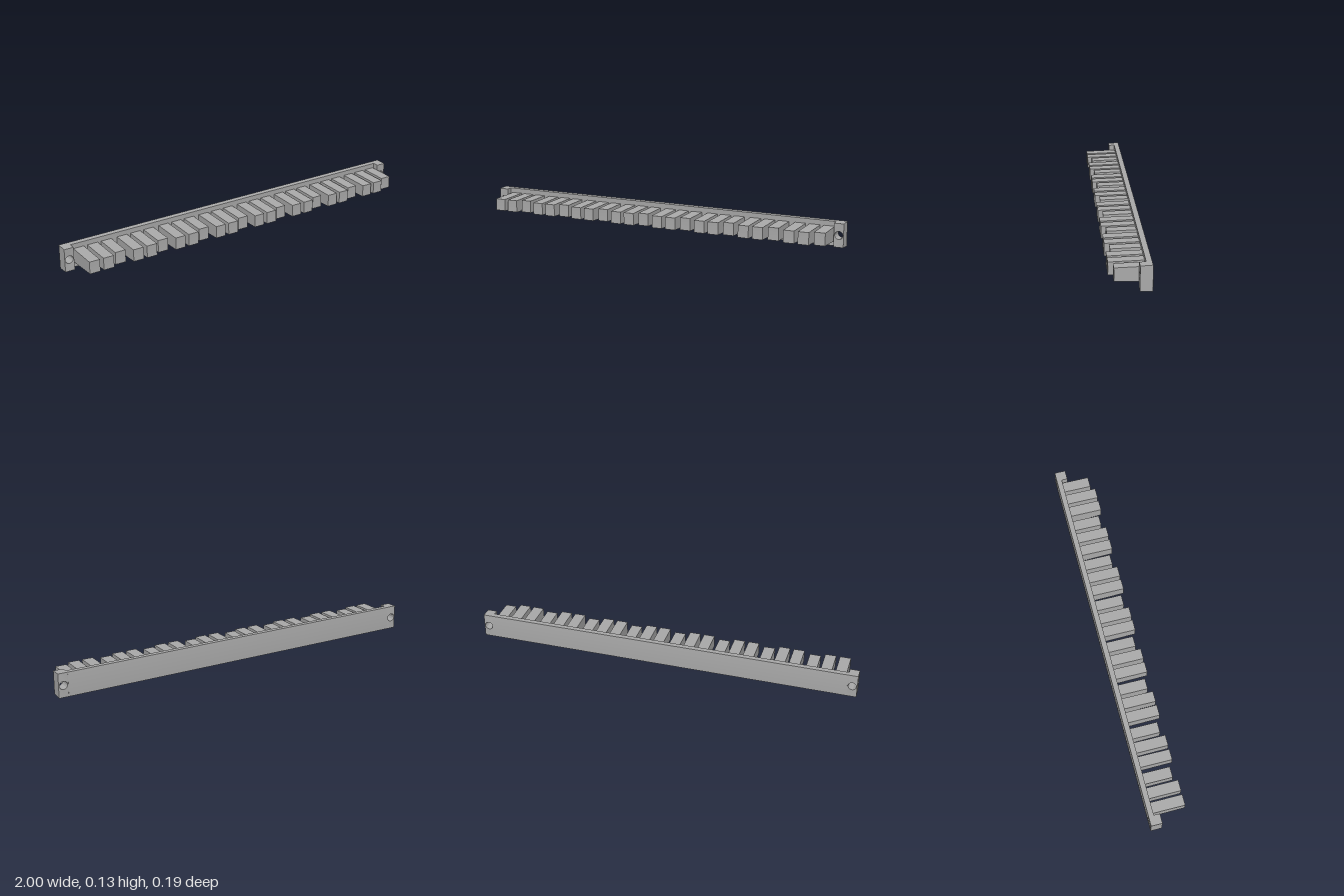
import * as THREE from 'three';
import { toCreasedNormals } from 'three/addons/utils/BufferGeometryUtils.js';

const grey = new THREE.MeshStandardMaterial({ color: 0xaaaaaa });
grey.name = 'plain grey';

const MID_Y = 0.063;   // height of the strip's centre line
const AXIS_Z = 1.2;    // the strip is a shallow sector of a ring around this axis
const BACK = -0.097;   // outer (rear) face

// Bend flat stock into the ring sector: height becomes an angle, depth a radius.
function bend(geometry) {
  const p = geometry.attributes.position;
  const backRadius = AXIS_Z - BACK;
  for (let i = 0; i < p.count; i++) {
    const angle = p.getY(i) / backRadius;
    const r = AXIS_Z - p.getZ(i);
    p.setY(i, MID_Y + r * Math.sin(angle));
    p.setZ(i, AXIS_Z - r * Math.cos(angle));
  }
  geometry.computeVertexNormals();
  return geometry;
}

function part(name, geometry) {
  const mesh = new THREE.Mesh(geometry, grey);
  mesh.name = name;
  return mesh;
}

// Bent bar centred at x, running from depth z0 to z1
function bar(name, x, width, halfHeight, z0, z1) {
  const g = new THREE.BoxGeometry(width, halfHeight * 2, z1 - z0, 1, 8, 1);
  g.translate(x, 0, (z0 + z1) / 2);
  return part(name, bend(g));
}

// End block with a round screw hole
function endBlock(name, side) {
  const w = 0.025, h = 0.063;
  const shape = new THREE.Shape([[-w, -h], [w, -h], [w, h], [-w, h]]
    .map(([x, y]) => new THREE.Vector2(x, y)));
  const hole = new THREE.Path();
  hole.absarc(0, 0, 0.021, 0, Math.PI * 2, true);
  shape.holes.push(hole);
  const g = new THREE.ExtrudeGeometry(shape, { depth: 0.058, bevelEnabled: false, curveSegments: 24 });
  g.translate(side * 0.975, 0, BACK);
  return part(name, toCreasedNormals(bend(g), 0.6));
}

export function createModel() {
  const model = new THREE.Group();
  model.name = 'toothedStrip';

  // Back plate between the end blocks
  model.add(bar('backPlate', 0, 1.9, 0.063, BACK, -0.07));
  model.add(endBlock('leftEndBlock', 1), endBlock('rightEndBlock', -1));

  // Eight groups of teeth: two long, one short
  const teeth = new THREE.Group();
  teeth.name = 'teeth';
  for (let g = 0; g < 8; g++) {
    for (let k = 0; k < 3; k++) {
      const x = -0.908 + g * 0.239 + k * 0.0755;
      const short = k === 2;
      teeth.add(bar(short ? 'shortTooth' : 'longTooth', x, 0.056, 0.0372, -0.072, short ? 0.075 : 0.097));
    }
  }
  model.add(teeth);
  return model;
}
